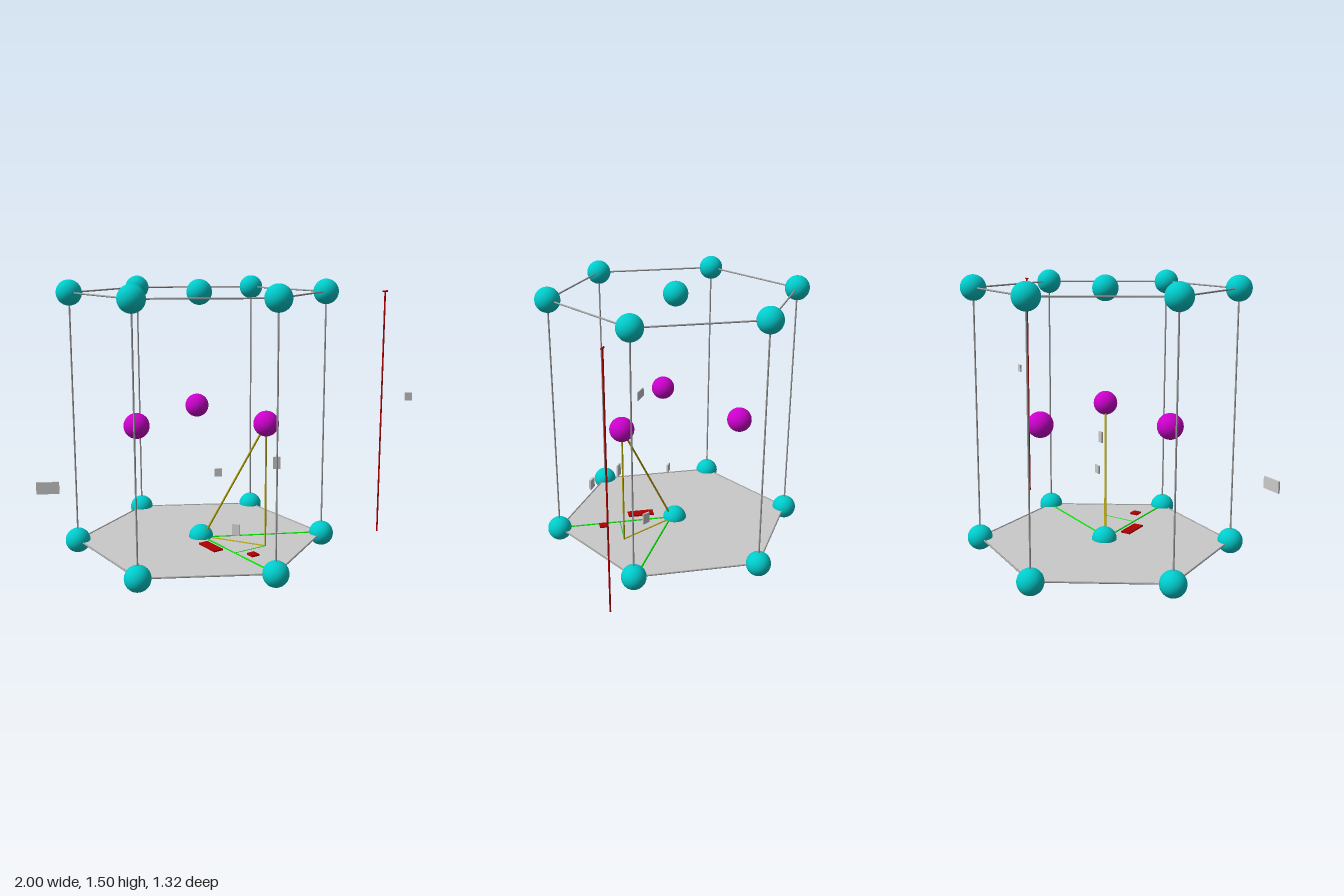
import * as THREE from 'three';

const mat = (name, color, side = THREE.FrontSide) => {
  const m = new THREE.MeshStandardMaterial({ color, side });
  m.name = name;
  return m;
};

export function createModel() {
  const model = new THREE.Group();
  model.name = 'hexagonalCrystalCell';

  const teal = mat('teal', 0x00cccc);
  const magenta = mat('magenta', 0xcc00cc);
  const edgeGrey = mat('edgeGrey', 0xa0a0a0);
  const floorGrey = mat('floorGrey', 0xcacaca, THREE.DoubleSide);
  const green = mat('green', 0x00e000);
  const olive = mat('olive', 0xb5a500);
  const darkRed = mat('darkRed', 0xb00000);
  const tagGrey = mat('tagGrey', 0xcacaca);

  const CX = -0.177, SIDE = 0.683, BOTTOM = 0.07, TOP = 1.43, MID = 0.75;
  const V = (x, y, z) => new THREE.Vector3(x, y, z);

  const add = (name, geometry, material) => {
    const mesh = new THREE.Mesh(geometry, material);
    mesh.name = name;
    model.add(mesh);
    return mesh;
  };
  const ballGeometry = new THREE.SphereGeometry(0.068, 32, 20);
  const ball = (name, p, material) => add(name, ballGeometry, material).position.copy(p);

  // Thin round rod between two points
  const rod = (name, a, b, r, material) => {
    const d = b.clone().sub(a);
    const mesh = add(name, new THREE.CylinderGeometry(r, r, d.length(), 24), material);
    mesh.position.copy(a).lerp(b, 0.5);
    mesh.quaternion.setFromUnitVectors(V(0, 1, 0), d.normalize());
  };

  const corner = (i, y) => {
    const t = i * Math.PI / 3;
    return V(CX + SIDE * Math.cos(t), y, SIDE * Math.sin(t));
  };

  // Outer atoms and cell edges
  for (let i = 0; i < 6; i++) {
    for (const [level, y] of [['bottom', BOTTOM], ['top', TOP]]) {
      ball(level + 'CornerAtom', corner(i, y), teal);
      rod(level + 'Edge', corner(i, y), corner(i + 1, y), 0.0045, edgeGrey);
    }
    rod('verticalEdge', corner(i, BOTTOM), corner(i, TOP), 0.0045, edgeGrey);
  }

  // Atoms at the centre of each hexagon
  const centre = V(CX, BOTTOM, 0);
  ball('bottomCentreAtom', centre, teal);
  ball('topCentreAtom', V(CX, TOP, 0), teal);

  // Three atoms of the middle layer
  const middle = [V(0.162, MID, 0.19), V(-0.518, MID, 0.19), V(CX, MID, -0.375)];
  middle.forEach((p) => ball('middleAtom', p, magenta));

  // Floor hexagon
  const floor = add('floorHexagon', new THREE.CircleGeometry(SIDE, 6), floorGrey);
  floor.rotation.x = -Math.PI / 2;
  floor.position.copy(centre);

  // Construction lines on the floor
  const foot = V(middle[0].x, BOTTOM, middle[0].z);
  rod('floorLine', V(CX, BOTTOM, 0.02), V(0.506, BOTTOM, -0.01), 0.005, green);
  rod('floorLine', centre, corner(1, BOTTOM), 0.005, green);
  rod('floorBisector', centre.clone().lerp(corner(1, BOTTOM), 0.48), foot, 0.0025, green);

  // Triangle joining the centre atom, a middle atom and its foot
  rod('triangleBase', centre, foot, 0.005, olive);
  rod('triangleHeight', foot, middle[0], 0.005, olive);
  rod('triangleSlope', V(-0.167, BOTTOM, 0.014), middle[0], 0.0055, olive);

  // Height marker beside the cell
  rod('heightMarker', V(0.83, BOTTOM, 0), V(0.83, TOP, 0), 0.0045, darkRed);
  rod('heightMarkerCap', V(0.815, TOP, 0), V(0.845, TOP, 0), 0.0045, darkRed);

  // Small blank tags beside the measured lines
  const tag = (name, p, w, h, material, turn = 0, flat = false) => {
    const mesh = add(name, new THREE.BoxGeometry(w, h, 0.009), material);
    mesh.position.copy(p);
    if (flat) mesh.rotation.set(-Math.PI / 2, 0, turn);
    else mesh.rotation.y = turn;
  };
  tag('sideTag', V(-0.945, 0.515, 0.5), 0.11, 0.06, tagGrey);
  tag('heightTag', V(0.98, 0.85, 0.005), 0.04, 0.045, tagGrey);
  tag('slopeTag', V(-0.08, 0.44, 0.008), 0.04, 0.045, tagGrey);
  tag('triangleHeightTag', V(0.22, 0.535, 0.19), 0.04, 0.065, tagGrey);
  tag('triangleBaseTag', V(0.01, 0.14, 0.112), 0.045, 0.065, tagGrey, -0.5);
  tag('halfLineTag', V(-0.135, 0.08, 0.2), 0.15, 0.055, darkRed, -1.05, true);
  tag('lineTag', V(0.078, 0.085, 0.35), 0.05, 0.045, darkRed, -1.05, true);

  return model;
}
